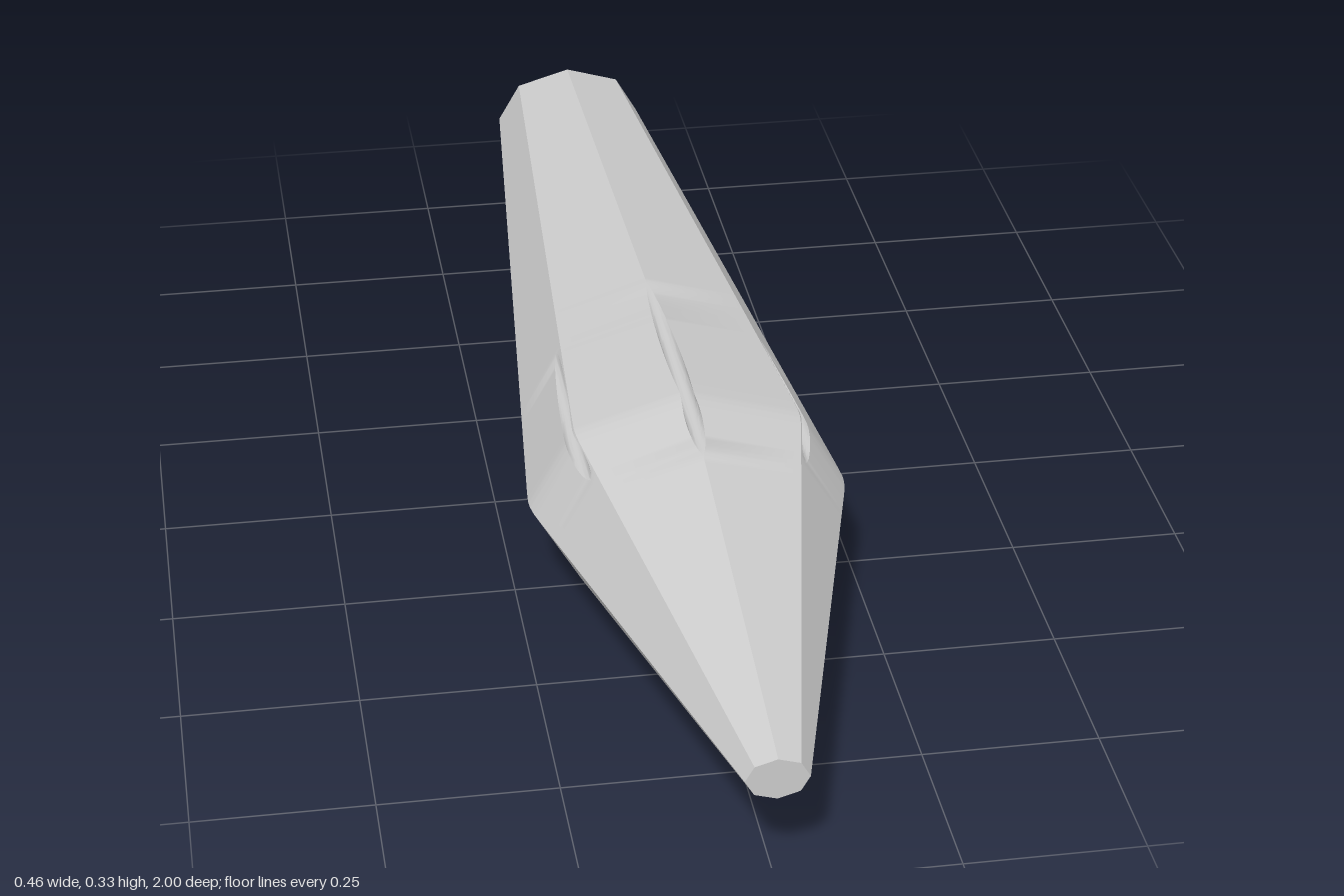
import * as THREE from 'three';
import { toCreasedNormals } from 'three/addons/utils/BufferGeometryUtils.js';

const CY = 0.1675;            // height of the long axis
const RX = 0.231, RY = 0.1645; // half width and half height at the thickest point
const GROOVE_R = 0.0125;
const ARC = 12;               // steps around each groove

// Taper along z: [z, scale], with a softened shoulder
const PROFILE = [[1, 0.187], [0.335, 0.955], [0.31, 0.983], [0.29, 0.997], [0.275, 1], [0.25, 0.993], [-1, 0.52]];

function scaleAt(z) {
  for (let i = 1; i < PROFILE.length; i++) {
    const [z0, s0] = PROFILE[i - 1], [z1, s1] = PROFILE[i];
    if (z >= z1) return s0 + (s1 - s0) * (z0 - z) / (z0 - z1);
  }
  return PROFILE[PROFILE.length - 1][1];
}

const corner = (i, s) => new THREE.Vector2(
  RX * s * Math.cos(i * Math.PI / 4), RY * s * Math.sin(i * Math.PI / 4));

// Both crossings of a groove circle with the edge p-q, clamped to the edge
function crossings(c, p, q) {
  const dir = q.clone().sub(p), len = dir.length();
  dir.divideScalar(len);
  const rel = c.clone().sub(p), t = rel.dot(dir), d = rel.cross(dir);
  const h = Math.sqrt(Math.max(0, GROOVE_R ** 2 - d * d));
  const at = (u) => p.clone().addScaledVector(dir, THREE.MathUtils.clamp(u, 0, len));
  return { first: at(t - h), last: at(t + h), open: h > 1e-6 };
}

// Groove wall from a to b, running clockwise through the body
function grooveArc(c, a, b, open) {
  const a0 = Math.atan2(a.y - c.y, a.x - c.x);
  let sweep = Math.atan2(b.y - c.y, b.x - c.x) - a0;
  if (sweep > 0) sweep -= 2 * Math.PI;
  const pts = [];
  for (let k = 0; k <= ARC; k++) {
    const w = a0 + sweep * k / ARC;
    if (k === 0 || !open) pts.push(a.clone());
    else if (k === ARC) pts.push(b.clone());
    else pts.push(new THREE.Vector2(c.x + GROOVE_R * Math.cos(w), c.y + GROOVE_R * Math.sin(w)));
  }
  return pts;
}

const mirror = (v) => new THREE.Vector2(-v.x, v.y);

// Octagon outline with a groove on the top ridge and one on each upper side
function section(z) {
  const s = scaleAt(z);
  const side = new THREE.Vector2(0.165, 0.1);
  const sx = crossings(side, corner(0, s), corner(1, s));
  const sideArc = grooveArc(side, sx.first, sx.last, sx.open);

  const top = new THREE.Vector2(0, 0.154), apex = corner(2, s);
  const open = apex.y > top.y - GROOVE_R;
  const rim = open ? crossings(top, apex, corner(1, s)).last : apex;
  const topArc = grooveArc(top, rim, mirror(rim), open);

  const outline = [corner(0, s), ...sideArc, corner(1, s), ...topArc, corner(3, s),
    ...sideArc.map(mirror).reverse(), corner(4, s), corner(5, s), corner(6, s), corner(7, s)];
  return outline.map((p) => new THREE.Vector3(p.x, p.y + CY, z));
}

function bodyGeometry() {
  // Dense stations only where the grooves run
  const stations = PROFILE.map((p) => p[0]);
  for (let i = 0; i <= 60; i++) stations.push(0.443 - i * 0.01);
  stations.sort((a, b) => b - a);
  const rings = stations.map(section);
  const positions = [];
  const tri = (a, b, c) => {
    const area = b.clone().sub(a).cross(c.clone().sub(a)).length();
    if (area > 1e-10) for (const v of [a, b, c]) positions.push(v.x, v.y, v.z);
  };
  const n = rings[0].length, last = rings.length - 1;
  const frontCentre = new THREE.Vector3(0, CY, 1), backCentre = new THREE.Vector3(0, CY, -1);
  for (let i = 0; i < n; i++) {
    const j = (i + 1) % n;
    for (let r = 0; r < last; r++) {
      const A = rings[r], B = rings[r + 1];
      tri(A[i], B[i], A[j]);
      tri(A[j], B[i], B[j]);
    }
    // End caps
    tri(frontCentre, rings[0][i], rings[0][j]);
    tri(backCentre, rings[last][j], rings[last][i]);
  }
  const g = new THREE.BufferGeometry();
  g.setAttribute('position', new THREE.Float32BufferAttribute(positions, 3));
  return toCreasedNormals(g, 0.4);
}

export function createModel() {
  const group = new THREE.Group();
  group.name = 'groovedTaperedShaft';
  const body = new THREE.Mesh(bodyGeometry(), new THREE.MeshStandardMaterial({ color: 0xcccccc }));
  body.name = 'octagonalBody';
  group.add(body);
  return group;
}
